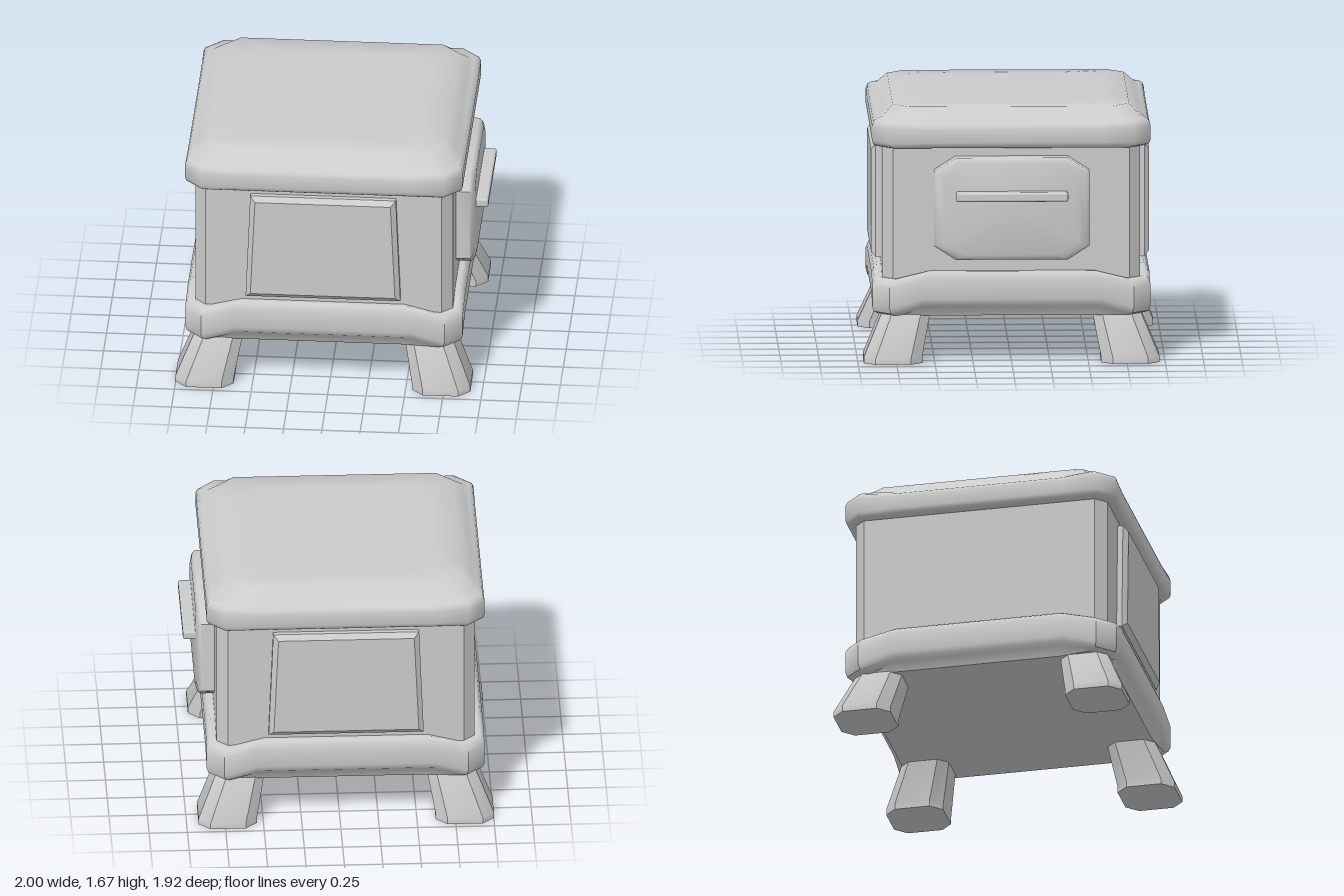
import * as THREE from 'three';
import { toCreasedNormals } from 'three/addons/utils/BufferGeometryUtils.js';
import { RoundedBoxGeometry } from 'three/addons/geometries/RoundedBoxGeometry.js';

const material = new THREE.MeshStandardMaterial({ color: 0xcccccc });

// Closed skin through a stack of rings (counter-clockwise seen from +y), capped at both ends
function loft(rings, creaseDegrees) {
  const n = rings[0].length, pos = [], index = [];
  rings.forEach(r => r.forEach(p => pos.push(...p)));
  for (let i = 0; i < rings.length - 1; i++) {
    for (let j = 0; j < n; j++) {
      const k = (j + 1) % n, a = i * n + j, b = i * n + k;
      index.push(a, b, b + n, a, b + n, a + n);
    }
  }
  [0, rings.length - 1].forEach(i => {
    const centre = pos.length / 3;
    pos.push(...[0, 1, 2].map(c => rings[i].reduce((s, p) => s + p[c] / n, 0)));
    for (let j = 0; j < n; j++) {
      const a = i * n + j, b = i * n + (j + 1) % n;
      index.push(centre, ...(i === 0 ? [b, a] : [a, b]));
    }
  });
  const g = new THREE.BufferGeometry();
  g.setAttribute('position', new THREE.Float32BufferAttribute(pos, 3));
  g.setIndex(index);
  return toCreasedNormals(g, THREE.MathUtils.degToRad(creaseDegrees));
}

// Rectangle with cut corners
function cutRing(hx, hz, cx, cz, y, ox = 0, oz = 0) {
  const a = hx - cx, b = hz - cz;
  return [[hx, b], [hx, -b], [a, -hz], [-a, -hz], [-hx, -b], [-hx, b], [-a, hz], [a, hz]]
    .map(([x, z]) => [x + ox, y, z + oz]);
}

// Square with cut corners whose side middles sit at their own height
function wavyRing(h, yCorner, yMiddle, cut = 0.11) {
  const e = h - cut, m = e * 0.73, ring = [];
  for (let side = 0; side < 4; side++) {
    const c = [1, 0, -1, 0][side], s = [0, 1, 0, -1][side];
    [[e, yCorner], [m, yMiddle], [-m, yMiddle], [-e, yCorner]].forEach(([z, y]) =>
      ring.push([h * c + z * s, y, z * c - h * s]));
  }
  return ring;
}

export function createModel() {
  const model = new THREE.Group();
  model.name = 'stove';
  const stove = new THREE.Group();
  stove.name = 'stoveAssembly';
  stove.position.x = -0.04;
  model.add(stove);

  const add = (name, geometry) => {
    const mesh = new THREE.Mesh(geometry, material);
    mesh.name = name;
    stove.add(mesh);
    return mesh;
  };

  // Firebox with narrow cut corners
  add('body', loft([0.4, 1.45].map(y => cutRing(0.84, 0.84, 0.07, 0.07, y)), 20));

  // Base skirt, arched between the legs, with the floor closing it below
  add('baseSkirt', loft([
    [0.84, 0.305, 0.305], [0.87, 0.31, 0.365], [0.895, 0.325, 0.385], [0.905, 0.36, 0.42],
    [0.905, 0.5, 0.55], [0.89, 0.535, 0.585], [0.87, 0.55, 0.6], [0.82, 0.55, 0.6],
  ].map(r => wavyRing(...r)), 38));

  // Thick lid with rounded rim and a raised top
  add('lid', loft([
    [0.83, 1.41, 1.41], [0.875, 1.412, 1.412], [0.897, 1.425, 1.425], [0.905, 1.45, 1.45],
    [0.905, 1.55, 1.535], [0.895, 1.58, 1.56], [0.87, 1.597, 1.575], [0.835, 1.605, 1.6],
    [0.77, 1.67, 1.67], [0.6, 1.67, 1.67],
  ].map(r => wavyRing(...r)), 50));

  // Four splayed legs
  for (const sx of [1, -1]) {
    for (const sz of [1, -1]) {
      const rings = [[0.772, 0.19, 0.075, 0], [0.772, 0.19, 0.075, 0.04], [0.665, 0.15, 0.06, 0.38]]
        .map(([c, h, cut, y]) => cutRing(h, h, cut, cut, y, sx * c, sz * c));
      add((sz > 0 ? 'front' : 'back') + (sx > 0 ? 'Left' : 'Right') + 'Leg', loft(rings, 40));
    }
  }

  // Tapered panels with bevelled edges, front and back
  const panelRing = (depth, inset) => {
    const top = 1.375 - inset, bottom = 0.64 + inset;
    const wTop = 0.475 - inset, wBottom = 0.505 - inset;
    return [[wBottom, depth, -bottom], [wTop, depth, -top], [-wTop, depth, -top], [-wBottom, depth, -bottom]];
  };
  const panel = loft([panelRing(0.82, 0), panelRing(0.875, 0), panelRing(0.905, 0.033)], 20);
  panel.rotateX(Math.PI / 2);
  add('frontPanel', panel);
  add('backPanel', panel).rotation.y = Math.PI;

  // Side door with cut corners and a softened face
  const door = loft([
    [0.335, 0.505, 0.82], [0.335, 0.505, 0.93], [0.325, 0.485, 0.948], [0.3, 0.43, 0.96],
  ].map(([hy, hz, x]) => cutRing(hy, hz, 0.09, 0.14, x)), 50);
  door.rotateZ(-Math.PI / 2);
  add('sideDoor', door).position.y = 1.02;

  // Horizontal door handle
  add('doorHandle', new RoundedBoxGeometry(0.14, 0.06, 0.73, 2, 0.015)).position.set(0.97, 1.11, 0);

  return model;
}
